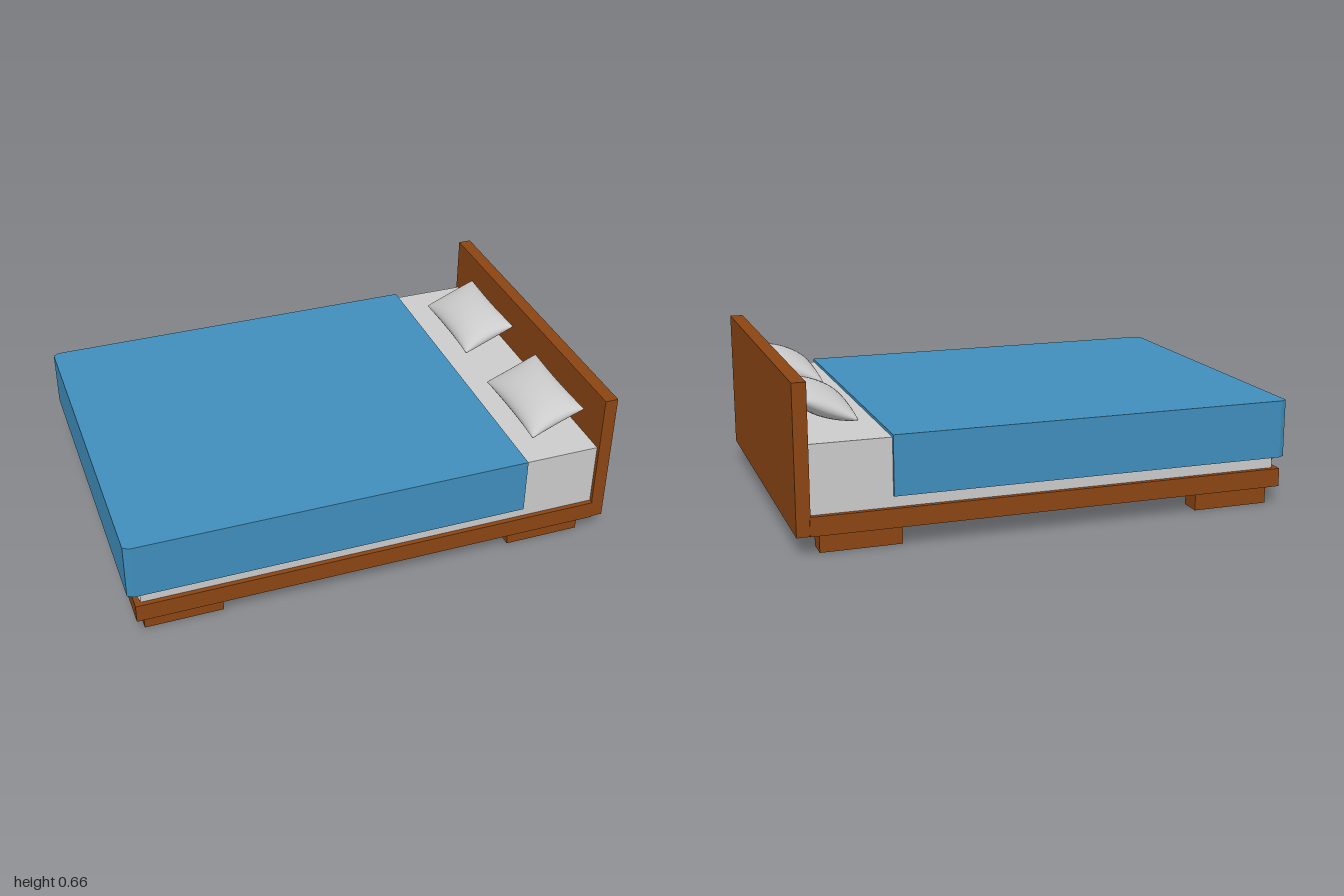
import * as THREE from 'three';
import { mergeGeometries, mergeVertices } from 'three/addons/utils/BufferGeometryUtils.js';

const wood = new THREE.MeshStandardMaterial({ color: 0x8b4513 });
const blue = new THREE.MeshStandardMaterial({ color: 0x3f8ebc });
const grey = new THREE.MeshStandardMaterial({ color: 0xcccccc });

function add(parent, name, geometry, material) {
  const mesh = new THREE.Mesh(geometry, material);
  mesh.name = name;
  parent.add(mesh);
  return mesh;
}

// Box given by its limits on each axis
function block(x0, x1, y0, y1, z0, z1) {
  return new THREE.BoxGeometry(x1 - x0, y1 - y0, z1 - z0)
    .translate((x0 + x1) / 2, (y0 + y1) / 2, (z0 + z1) / 2);
}

// Plan outline from foot to head with cut corners at the foot end
function plan(x0, x1, w, cx, cz) {
  return [[x1, -w], [x1, w], [x0 + cx, w], [x0, w - cz], [x0, cz - w], [x0 + cx, -w]]
    .map(([x, z]) => new THREE.Vector2(x, z));
}

// Upright extrusion of a plan outline between two heights
function raise(points, y0, y1, steps = 1) {
  return new THREE.ExtrudeGeometry(new THREE.Shape(points), { depth: y1 - y0, steps, bevelEnabled: false })
    .rotateX(-Math.PI / 2).translate(0, y0, 0);
}

// Soft cushion: two domed sheets sharing a pinched rim
function pillowGeometry(hx, hz, hy) {
  const top = new THREE.PlaneGeometry(2, 2, 20, 24).rotateX(-Math.PI / 2);
  top.deleteAttribute('uv');
  top.deleteAttribute('normal');
  const p = top.attributes.position;
  for (let i = 0; i < p.count; i++) {
    // Rows bunch up near the rim
    const u = Math.sin(p.getX(i) * Math.PI / 2), v = Math.sin(p.getZ(i) * Math.PI / 2);
    const domeU = Math.max(0, 1 - u * u), domeV = Math.max(0, 1 - v * v);
    p.setXYZ(i,
      u * hx * (1 - 0.05 * domeV),
      hy * Math.pow(domeU, 0.45) * Math.pow(domeV, 0.45),
      v * hz * (1 - 0.06 * domeU));
  }
  const bottom = top.clone().rotateX(Math.PI);
  const geometry = mergeVertices(mergeGeometries([top, bottom]), 1e-5);
  geometry.computeVertexNormals();
  return geometry;
}

export function createModel() {
  const bed = new THREE.Group();
  bed.name = 'bed';

  // Platform and headboard
  add(bed, 'platform', block(-0.975, 0.95, 0.08, 0.155, -0.712, 0.712), wood);
  add(bed, 'headboard', block(0.946, 1, 0.08, 0.656, -0.708, 0.708), wood);

  // Four low feet, just clear of the platform
  for (const x of [-0.94, 0.592]) {
    for (const side of [-1, 1]) {
      add(bed, 'foot', block(x, x + 0.316, 0, 0.066, side * 0.624 - 0.044, side * 0.624 + 0.044), wood);
    }
  }

  // Mattress, drawn in along its lower foot edge
  const mattress = raise(plan(-0.972, 0.946, 0.692, 0.022, 0.02), 0.155, 0.423, 6);
  const p = mattress.attributes.position;
  for (let i = 0; i < p.count; i++) {
    if (p.getY(i) < 0.156) p.setX(i, Math.max(p.getX(i), -0.95));
  }
  mattress.computeVertexNormals();
  add(bed, 'mattress', mattress, grey);

  // Blanket: top sheet and a skirt hanging on three sides
  const blanket = new THREE.Group();
  blanket.name = 'blanket';
  bed.add(blanket);
  const outer = plan(-1, 0.632, 0.707, 0.025, 0.014);
  const inner = plan(-0.985, 0.632, 0.694, 0.025, 0.014);
  add(blanket, 'blanketTop', raise(outer, 0.423, 0.435), blue);
  const skirt = [...outer.slice(1), outer[0], inner[0], ...inner.slice(1).reverse()];
  add(blanket, 'blanketSkirt', raise(skirt, 0.2, 0.423), blue);

  // Pillows leaning towards the headboard
  const pillow = pillowGeometry(0.12, 0.218, 0.058);
  for (const [x, z] of [[0.828, -0.308], [0.818, 0.368]]) {
    const mesh = add(bed, 'pillow', pillow, grey);
    mesh.position.set(x, 0.5, z);
    mesh.rotation.z = 0.4;
  }
  return bed;
}
